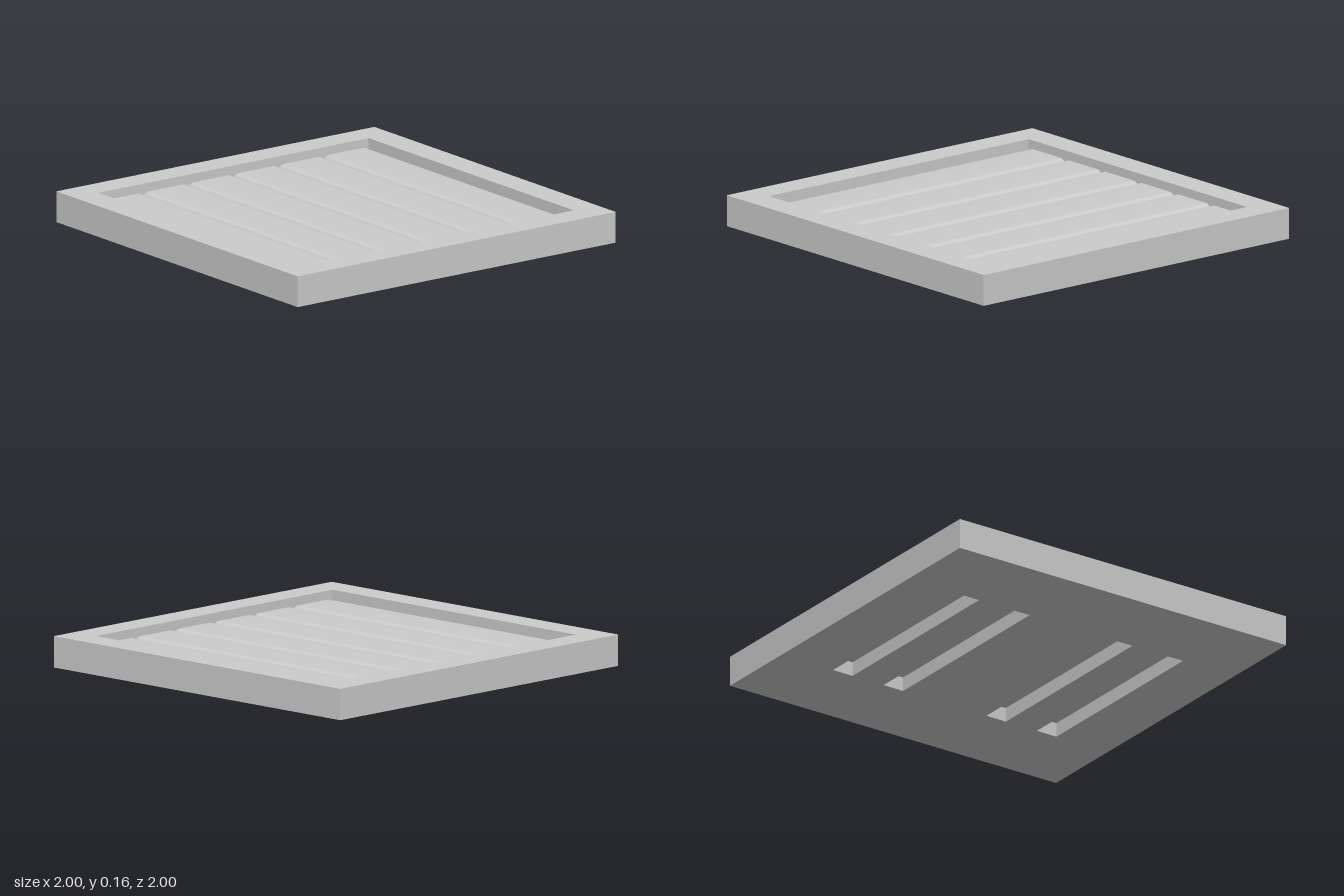
import * as THREE from 'three';
import { toCreasedNormals } from 'three/addons/utils/BufferGeometryUtils.js';

const HEIGHT = 0.16;      // overall thickness
const BASE = 0.075;       // base plate thickness, also the slot depth
const OPENING = 0.85;     // half width of the framed recess
const SLAT_TOP = 0.115;
const SLATS = 6;
const ROUND = 0.035;      // radius of the slat edges

const material = new THREE.MeshStandardMaterial({ color: 0xcccccc });

function rectangle(PathType, x0, x1, y0, y1) {
  const p = new PathType();
  p.moveTo(x0, y0);
  p.lineTo(x1, y0);
  p.lineTo(x1, y1);
  p.lineTo(x0, y1);
  p.closePath();
  return p;
}

// Square slab lying flat, with rectangular holes
function slab(name, holes, bottom, top) {
  const shape = rectangle(THREE.Shape, -1, 1, -1, 1);
  shape.holes = holes;
  const geometry = new THREE.ExtrudeGeometry(shape, { depth: top - bottom, bevelEnabled: false });
  geometry.rotateX(-Math.PI / 2).translate(0, bottom, 0);
  const mesh = new THREE.Mesh(geometry, material);
  mesh.name = name;
  return mesh;
}

export function createModel() {
  const group = new THREE.Group();
  group.name = 'slattedPanel';

  // Base plate with four long slots in its underside
  const slots = [-0.625, -0.315, 0.315, 0.625].map(
    (x) => rectangle(THREE.Path, x - 0.06, x + 0.06, -0.55, 0.55));
  group.add(slab('basePlate', slots, 0, BASE));

  // Raised border
  const opening = rectangle(THREE.Path, -OPENING, OPENING, -OPENING, OPENING);
  group.add(slab('frame', [opening], BASE, HEIGHT));

  // Slats with rounded long edges, side by side in the recess
  const half = OPENING / SLATS;
  const profile = new THREE.Shape();
  profile.moveTo(-half, BASE);
  profile.lineTo(half, BASE);
  profile.lineTo(half, SLAT_TOP - ROUND);
  profile.absarc(half - ROUND, SLAT_TOP - ROUND, ROUND, 0, Math.PI / 2);
  profile.absarc(-half + ROUND, SLAT_TOP - ROUND, ROUND, Math.PI / 2, Math.PI);
  profile.closePath();
  const extruded = new THREE.ExtrudeGeometry(profile, {
    depth: 2 * OPENING, bevelEnabled: false, curveSegments: 8,
  });
  extruded.rotateY(-Math.PI / 2).translate(OPENING, 0, 0);
  const slatGeometry = toCreasedNormals(extruded, 0.6);
  for (let i = 0; i < SLATS; i++) {
    const slat = new THREE.Mesh(slatGeometry, material);
    slat.name = `slat${i + 1}`;
    slat.position.z = -OPENING + half * (2 * i + 1);
    group.add(slat);
  }
  return group;
}
